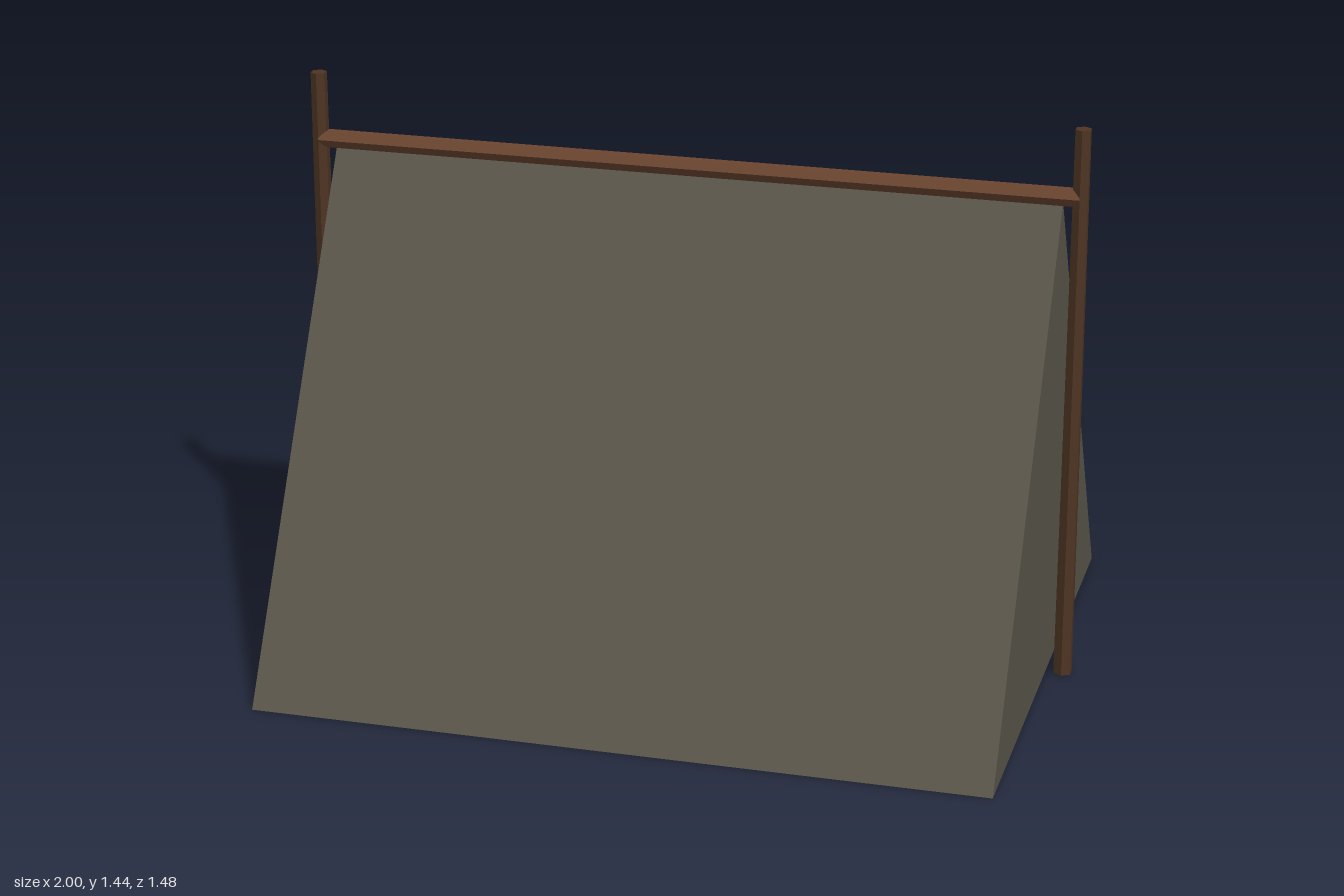
import * as THREE from 'three';

const mat = (name, color, opts = {}) => {
  const m = new THREE.MeshStandardMaterial({ color, flatShading: true, ...opts });
  m.name = name;
  return m;
};

export function createModel() {
  const tent = new THREE.Group();
  tent.name = 'tent';
  const canvas = mat('canvas', 0x5a564a, { side: THREE.DoubleSide });
  const poleWood = mat('dark wood', 0x4e3422);
  const ridgeWood = mat('red-brown wood', 0x6b4530);
  const flapCloth = mat('dark cloth', 0x20202b);

  const add = (name, geometry, material) => {
    const mesh = new THREE.Mesh(geometry, material);
    mesh.name = name;
    tent.add(mesh);
    return mesh;
  };

  // Canvas shell: two slopes and two gable ends, open underneath
  const L = 0.935, W = 0.738, H = 1.25;
  const A = [-L, 0, W], B = [L, 0, W], C = [L, 0, -W], D = [-L, 0, -W];
  const P = [-L, H, 0], Q = [L, H, 0];
  const faces = [[A, B, Q], [A, Q, P], [C, D, P], [C, P, Q], [B, C, Q], [D, A, P]];
  const shell = new THREE.BufferGeometry();
  shell.setAttribute('position', new THREE.Float32BufferAttribute(faces.flat(2), 3));
  shell.computeVertexNormals();
  add('canvasShell', shell, canvas);

  // Tapered six-sided end poles
  for (const [name, side] of [['leftPole', 1], ['rightPole', -1]]) {
    add(name, new THREE.CylinderGeometry(0.021, 0.025, 1.44, 6), poleWood)
      .position.set(side * 0.978, 0.72, 0);
  }

  // Ridge beam between the poles
  const ridge = add('ridgeBeam', new THREE.CylinderGeometry(0.024, 0.024, 1.956, 6), ridgeWood);
  ridge.rotation.z = Math.PI / 2;
  ridge.position.y = 1.266;

  // Door flap: a thin slab narrowing towards the top
  const flapHeight = 0.8;
  const flap = new THREE.BoxGeometry(0.031, flapHeight, 0.47);
  const p = flap.attributes.position;
  for (let i = 0; i < p.count; i++) {
    if (p.getY(i) > 0) p.setXYZ(i, p.getX(i) * 0.55, p.getY(i), p.getZ(i) * 0.22);
  }
  flap.computeVertexNormals();
  add('doorFlap', flap, flapCloth).position.set(-0.9525, flapHeight / 2, 0);

  return tent;
}
